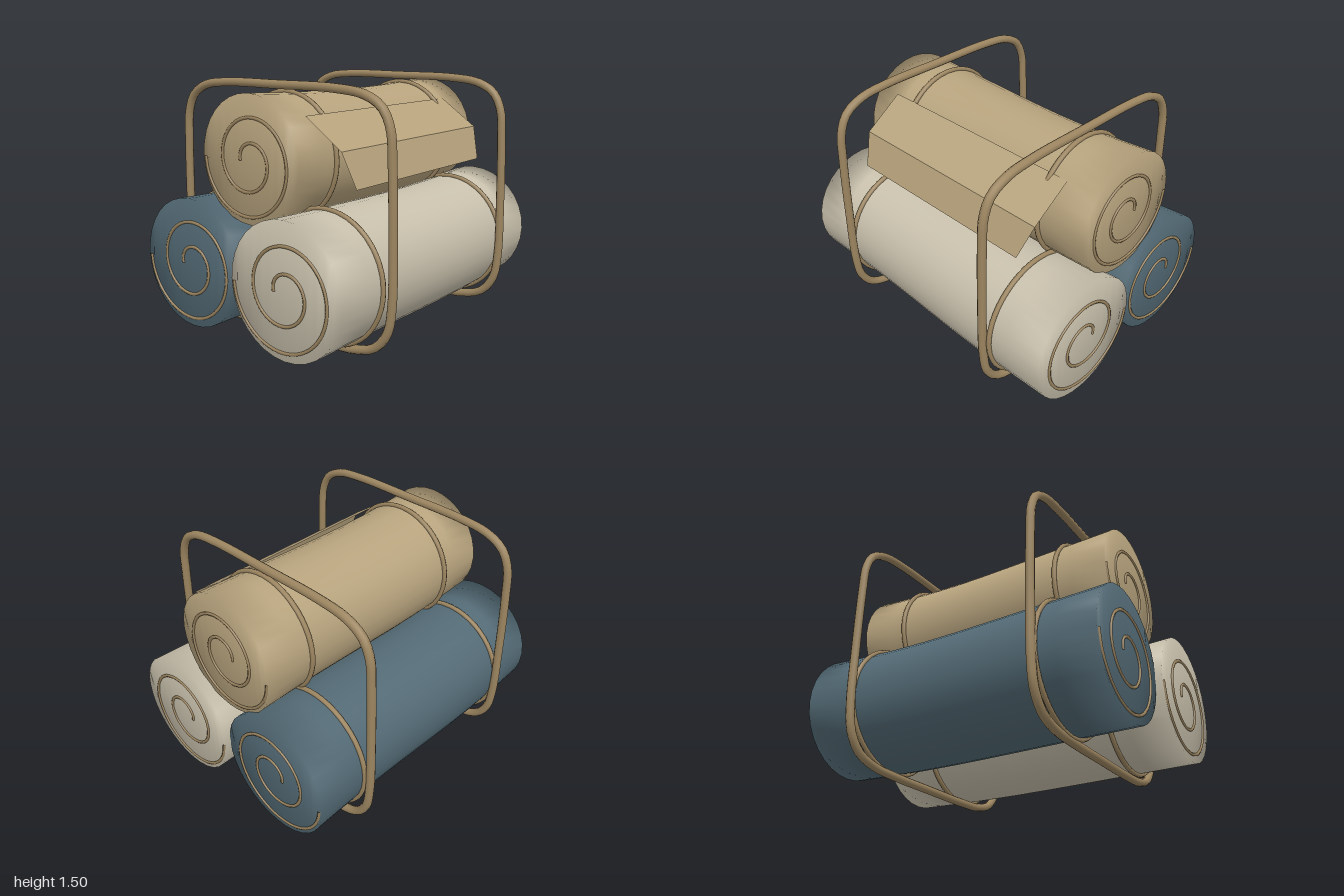
import * as THREE from 'three';

const mat = (color, extra = {}) => new THREE.MeshStandardMaterial({ color, ...extra });
const TAN = 0xb8a47e, CREAM = 0xc9c1ad, BLUE = 0x536a75, ROPE = 0x9c8560;

function addMesh(parent, name, geometry, material) {
  const mesh = new THREE.Mesh(geometry, material);
  mesh.name = name;
  parent.add(mesh);
  return mesh;
}

// Centre line and radius of a slightly sagging, swaying bedroll; t runs -1..1
function rollSection(r, t) {
  const sag = 1 - t * t;
  return {
    x: r.cx + t * r.half,
    y: r.y - 0.021 * sag,
    z: r.z + 0.01 * Math.sin(Math.PI * t),
    R: r.R - 0.007 * sag,
  };
}

// Closed roll body: swept rings with caps sharing the rim for soft shading
function rollGeometry(r, n = 32, steps = 8) {
  const pos = [], idx = [];
  for (let s = 0; s <= steps; s++) {
    const c = rollSection(r, (2 * s) / steps - 1);
    for (let i = 0; i < n; i++) {
      const a = (i / n) * Math.PI * 2;
      pos.push(c.x, c.y + c.R * Math.sin(a), c.z + c.R * Math.cos(a));
    }
  }
  for (let s = 0; s < steps; s++) {
    for (let i = 0; i < n; i++) {
      const j = (i + 1) % n, p = s * n, q = p + n;
      idx.push(p + i, q + i, p + j, p + j, q + i, q + j);
    }
  }
  const e = steps * n;
  for (let k = 0; k < n / 2 - 1; k++) {
    const a = k, b = k + 1, c = n - 2 - k, d = n - 1 - k;
    idx.push(a, b, d, b, c, d);
    idx.push(e + d, e + b, e + a, e + d, e + c, e + b);
  }
  const g = new THREE.BufferGeometry();
  g.setAttribute('position', new THREE.Float32BufferAttribute(pos, 3));
  g.setIndex(idx);
  g.computeVertexNormals();
  return g;
}

// Two-turn spiral cord lying on an end face
function spiralGeometry(r, side) {
  const pts = [];
  for (let i = 0; i <= 48; i++) {
    const u = i / 48, a = u * Math.PI * 4, rad = r.R * (0.18 + 0.77 * u);
    pts.push(new THREE.Vector3(
      r.cx + side * r.half, r.y - 0.008 + rad * Math.sin(a), r.z - rad * Math.cos(a)));
  }
  return new THREE.TubeGeometry(new THREE.CatmullRomCurve3(pts), 120, 0.01, 6);
}

function buildRoll(r, ropeMat) {
  const group = new THREE.Group();
  group.name = r.name;
  addMesh(group, 'rollBody', rollGeometry(r), mat(r.color));
  for (const side of [-1, 1]) {
    addMesh(group, 'endSpiral', spiralGeometry(r, side), ropeMat);
    // Cord tied around the roll
    const c = rollSection(r, side * 0.64);
    const cord = addMesh(group, 'tieCord', new THREE.TorusGeometry(c.R + 0.006, 0.015, 8, 48), ropeMat);
    cord.rotation.y = Math.PI / 2;
    cord.position.set(c.x, c.y, c.z);
  }
  return group;
}

// Rounded, slightly tapering hoop that carries the bundle
function hoopGeometry() {
  const half = [
    [0, 0.026], [0.35, 0.027], [0.54, 0.038], [0.68, 0.085], [0.76, 0.19], [0.787, 0.35],
    [0.788, 0.7], [0.778, 1.1], [0.763, 1.28], [0.71, 1.385], [0.6, 1.445], [0.42, 1.468], [0, 1.471],
  ];
  const mirrored = half.slice(1, -1).reverse().map(([z, y]) => [-z, y]);
  const pts = [...half, ...mirrored].map(([z, y]) => new THREE.Vector3(0, y, z));
  const curve = new THREE.CatmullRomCurve3(pts, true, 'centripetal');
  return new THREE.TubeGeometry(curve, 120, 0.026, 10, true);
}

// Thin folded flap: rows of [xLeft, xRight, y, z] from top to bottom
function flapGeometry() {
  const rows = [
    [-0.68, 0.715, 1.32, 0.27],
    [-0.68, 0.715, 1.15, 0.515],
    [-0.64, 0.65, 0.95, 0.585],
  ];
  const pos = [], idx = [];
  rows.forEach(([x0, x1, y, z], i) => {
    pos.push(x0, y, z, x1, y, z);
    if (i) {
      const p = 2 * (i - 1);
      idx.push(p, p + 2, p + 1, p + 1, p + 2, p + 3);
    }
  });
  const g = new THREE.BufferGeometry();
  g.setAttribute('position', new THREE.Float32BufferAttribute(pos, 3));
  g.setIndex(idx);
  const flat = g.toNonIndexed();
  flat.computeVertexNormals();
  return flat;
}

export function createModel() {
  const model = new THREE.Group();
  model.name = 'bedrollBundle';
  const ropeMat = mat(ROPE);

  // Two rolls below, one resting on top
  const rolls = [
    { name: 'frontRoll', color: CREAM, cx: -0.002, half: 0.988, y: 0.444, z: 0.38, R: 0.385 },
    { name: 'backRoll', color: BLUE, cx: 0, half: 0.95, y: 0.444, z: -0.382, R: 0.385 },
    { name: 'topRoll', color: TAN, cx: 0.04, half: 0.88, y: 1.074, z: 0, R: 0.365 },
  ];
  for (const r of rolls) model.add(buildRoll(r, ropeMat));

  // Carrying hoops
  const hoop = hoopGeometry();
  for (const side of [-1, 1]) {
    addMesh(model, side > 0 ? 'leftHoop' : 'rightHoop', hoop, ropeMat).position.x = side * 0.595;
  }

  // Loose flap hanging off the front of the top roll
  addMesh(model, 'looseFlap', flapGeometry(), mat(TAN, { side: THREE.DoubleSide, flatShading: true }));
  return model;
}
